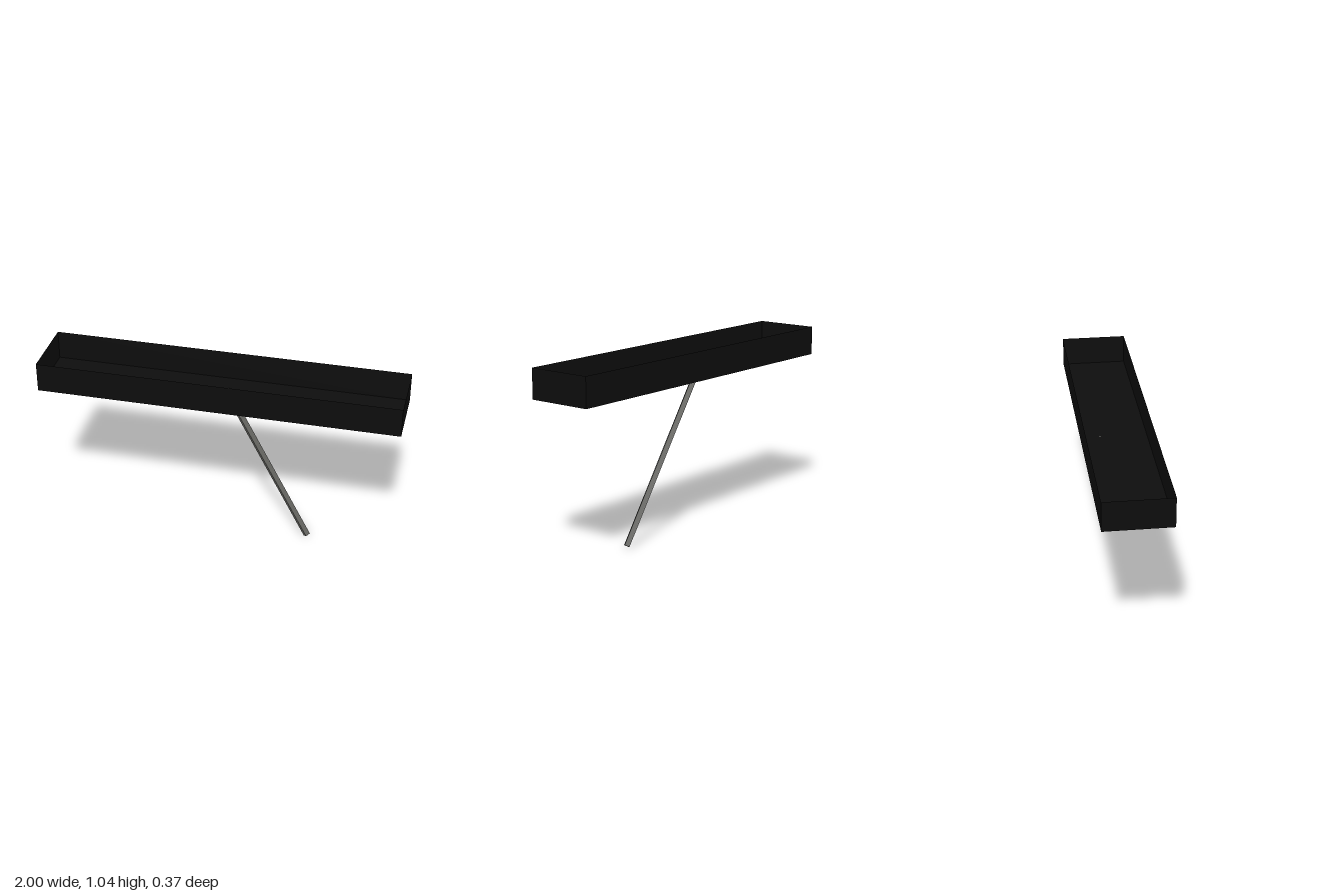
import * as THREE from 'three';

const black = new THREE.MeshStandardMaterial({ color: 0x0d0d0d, side: THREE.DoubleSide });
black.name = 'black';
const grey = new THREE.MeshStandardMaterial({ color: 0x62625e, flatShading: true });
grey.name = 'warmGrey';

// Thin-walled box without its top face
function openBox(w, h, d) {
  const geo = new THREE.BoxGeometry(w, h, d);
  const index = Array.from(geo.index.array);
  index.splice(12, 6); // the third face is the lid
  geo.setIndex(index);
  geo.clearGroups();
  return geo;
}

// Four-sided rod between two points, with one edge turned upwards
function rod(from, to, radius) {
  const dir = to.clone().sub(from);
  const geo = new THREE.CylinderGeometry(radius, radius, dir.length(), 4);
  const mesh = new THREE.Mesh(geo, grey);
  mesh.position.copy(from).add(to).multiplyScalar(0.5);
  mesh.quaternion.setFromUnitVectors(new THREE.Vector3(0, 1, 0), dir.normalize());
  return mesh;
}

export function createModel() {
  const model = new THREE.Group();
  model.name = 'trayOnStick';

  // Long open tray
  const floorY = 0.88, height = 0.165;
  const tray = new THREE.Mesh(openBox(2, height, 0.368), black);
  tray.name = 'tray';
  tray.position.y = floorY + height / 2;
  model.add(tray);

  // Slanted stick, its tip just piercing the tray floor
  const stick = rod(
    new THREE.Vector3(0.495, 0.01, 0),
    new THREE.Vector3(0, 0.874, -0.075),
    0.02
  );
  stick.name = 'stick';
  model.add(stick);

  return model;
}
